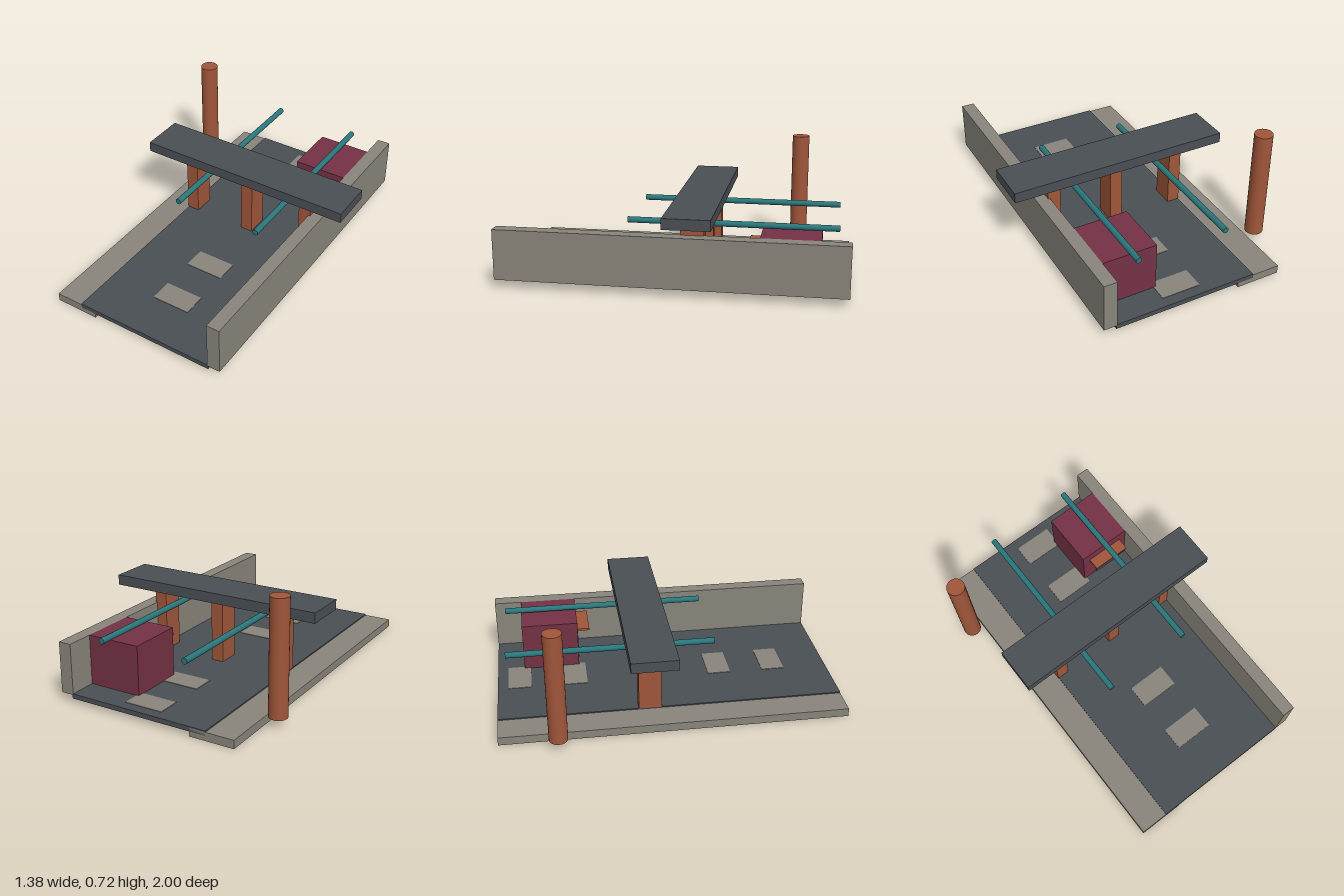
import * as THREE from 'three';

const material = (name, color) => {
  const m = new THREE.MeshStandardMaterial({ color });
  m.name = name;
  return m;
};

export function createModel() {
  const model = new THREE.Group();
  model.name = 'stationPlatform';

  const slate = material('slate', 0x4a4f54);
  const stone = material('stone', 0x89857b);
  const rust = material('rust', 0xa0563a);
  const maroon = material('maroon', 0x743144);
  const teal = material('teal', 0x2a767b);

  const add = (name, geometry, mat) => {
    const mesh = new THREE.Mesh(geometry, mat);
    mesh.name = name;
    model.add(mesh);
    return mesh;
  };

  // Box given by its lower and upper limits on each axis
  const box = (name, mat, [x0, x1], [y0, y1], [z0, z1]) =>
    add(name, new THREE.BoxGeometry(x1 - x0, y1 - y0, z1 - z0), mat)
      .position.set((x0 + x1) / 2, (y0 + y1) / 2, (z0 + z1) / 2);

  // Ground: deck, low kerb slab and side wall
  const deckTop = 0.056;
  box('deck', slate, [-0.405, 0.457], [0.028, deckTop], [-1, 1]);
  box('kerbSlab', stone, [-0.574, -0.307], [0, 0.049], [-1, 1]);
  box('sideWall', stone, [0.452, 0.53], [0.05, 0.347], [-1, 1]);

  // Pale paving marks, two either side of the columns
  for (const z of [-0.87, -0.536, 0.334, 0.668]) {
    box('pavingMark', stone, [-0.093, 0.141], [deckTop - 0.002, deckTop + 0.003], [z - 0.069, z + 0.069]);
  }

  // Canopy on three columns
  for (const x of [-0.371, 0.026, 0.425]) {
    box('column', rust, [x - 0.038, x + 0.038], [deckTop, 0.44], [-0.197, -0.065]);
  }
  box('canopy', slate, [-0.64, 0.688], [0.438, 0.5], [-0.264, 0.001]);

  // Booth with door and awning
  box('booth', maroon, [0.127, 0.452], [deckTop, 0.347], [-0.838, -0.504]);
  box('door', slate, [0.22, 0.365], [deckTop, 0.253], [-0.51, -0.498]);
  box('awning', rust, [0.175, 0.408], [0.267, 0.28], [-0.51, -0.43]);

  // Round rails running lengthwise under the canopy
  for (const x of [-0.241, 0.291]) {
    const rail = add('rail', new THREE.CylinderGeometry(0.0175, 0.0175, 1.2, 20), teal);
    rail.rotation.x = Math.PI / 2;
    rail.position.set(x, 0.375, -0.333);
  }

  // Tall chimney beside the kerb
  add('chimney', new THREE.CylinderGeometry(0.053, 0.053, 0.664, 28), rust)
    .position.set(-0.641, 0.388, -0.668);

  return model;
}
